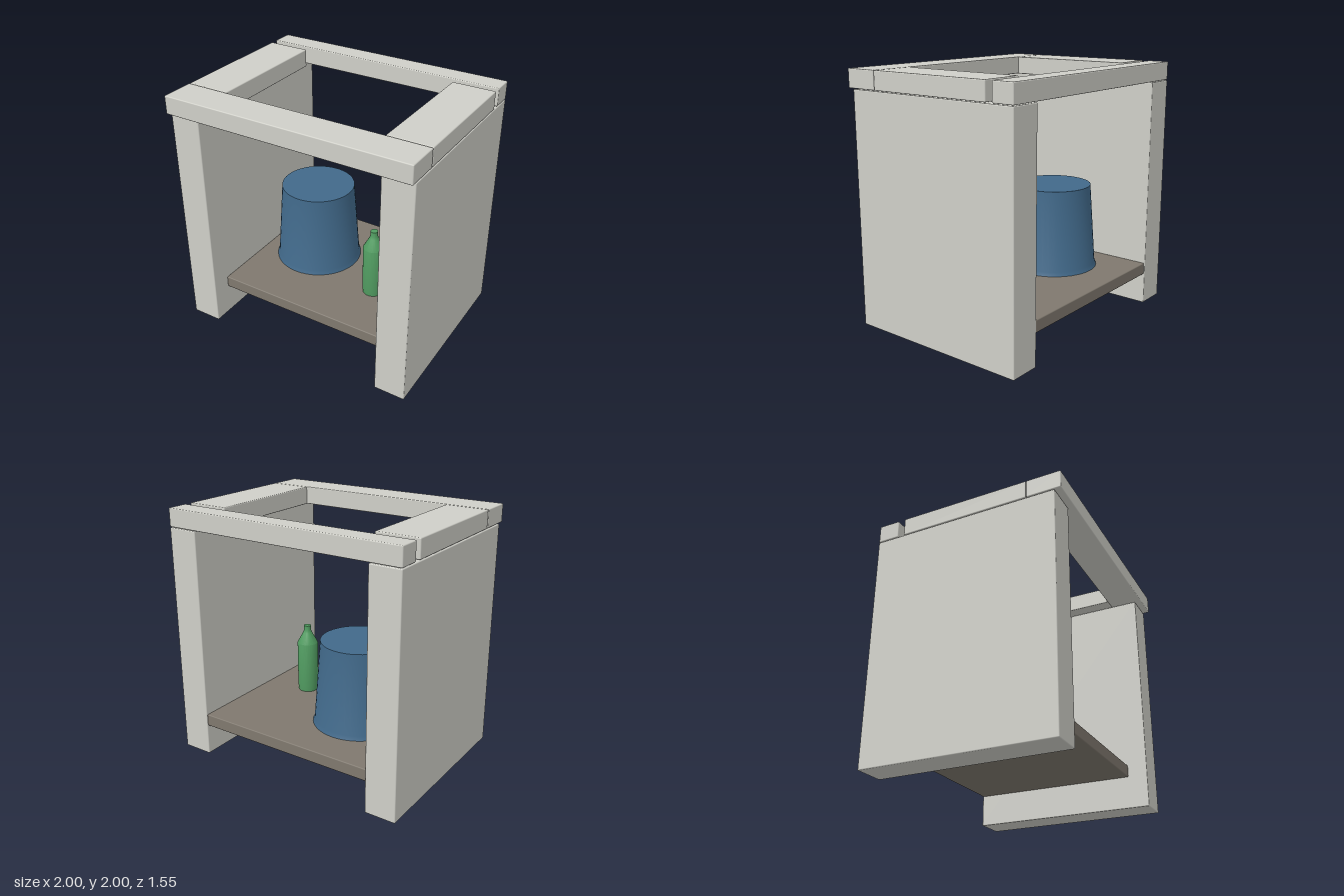
import * as THREE from 'three';
import { RoundedBoxGeometry } from 'three/addons/geometries/RoundedBoxGeometry.js';
import { toCreasedNormals } from 'three/addons/utils/BufferGeometryUtils.js';

const material = (color) => new THREE.MeshStandardMaterial({ color });
const stone = material(0xcfcfc8);
const wood = material(0x7f786e);
const blue = material(0x41698a);
const green = material(0x519c61);

// Softly rounded slab given by its lower and upper limits on each axis
function slab(name, [x0, x1], [y0, y1], [z0, z1], mat) {
  const mesh = new THREE.Mesh(new RoundedBoxGeometry(x1 - x0, y1 - y0, z1 - z0, 2, 0.008), mat);
  mesh.position.set((x0 + x1) / 2, (y0 + y1) / 2, (z0 + z1) / 2);
  mesh.name = name;
  return mesh;
}

// Turned body from [radius, height] pairs, bottom to top
function turned(name, profile, mat) {
  const points = profile.map(([r, y]) => new THREE.Vector2(r, y));
  const mesh = new THREE.Mesh(toCreasedNormals(new THREE.LatheGeometry(points, 48), 0.5), mat);
  mesh.name = name;
  return mesh;
}

export function createModel() {
  const model = new THREE.Group();
  model.name = 'washStand';

  // Side walls and the short rim slabs on top of them
  for (const [side, s] of [['left', 1], ['right', -1]]) {
    const span = (a, b) => (s > 0 ? [a, b] : [-b, -a]);
    model.add(slab(side + 'Wall', span(0.75, 1), [0, 1.85], [-0.775, 0.725], stone));
    model.add(slab(side + 'Rim', span(0.655, 1), [1.855, 2], [-0.545, 0.498], stone));
  }

  // Long rim slabs across the front and back
  model.add(slab('frontRim', [-1, 1], [1.855, 2], [0.502, 0.775], stone));
  model.add(slab('backRim', [-1, 1], [1.855, 2], [-0.775, -0.6], stone));

  // Shelf between the walls
  model.add(slab('shelf', [-0.75, 0.75], [0.255, 0.352], [-0.77, 0.57], wood));

  // Upturned bucket with a small flared lip
  const bucket = turned('bucket', [
    [0, 0], [0.36, 0], [0.347, 0.035], [0.3, 0.678], [0, 0.678],
  ], blue);
  bucket.position.set(-0.3, 0.352, -0.155);
  model.add(bucket);

  // Bottle with sloping shoulders and a narrow neck
  const bottle = turned('bottle', [
    [0, 0], [0.08, 0], [0.085, 0.05], [0.085, 0.428], [0.038, 0.515],
    [0.029, 0.535], [0.029, 0.578], [0, 0.578],
  ], green);
  bottle.position.set(0.375, 0.352, 0.095);
  model.add(bottle);

  return model;
}
